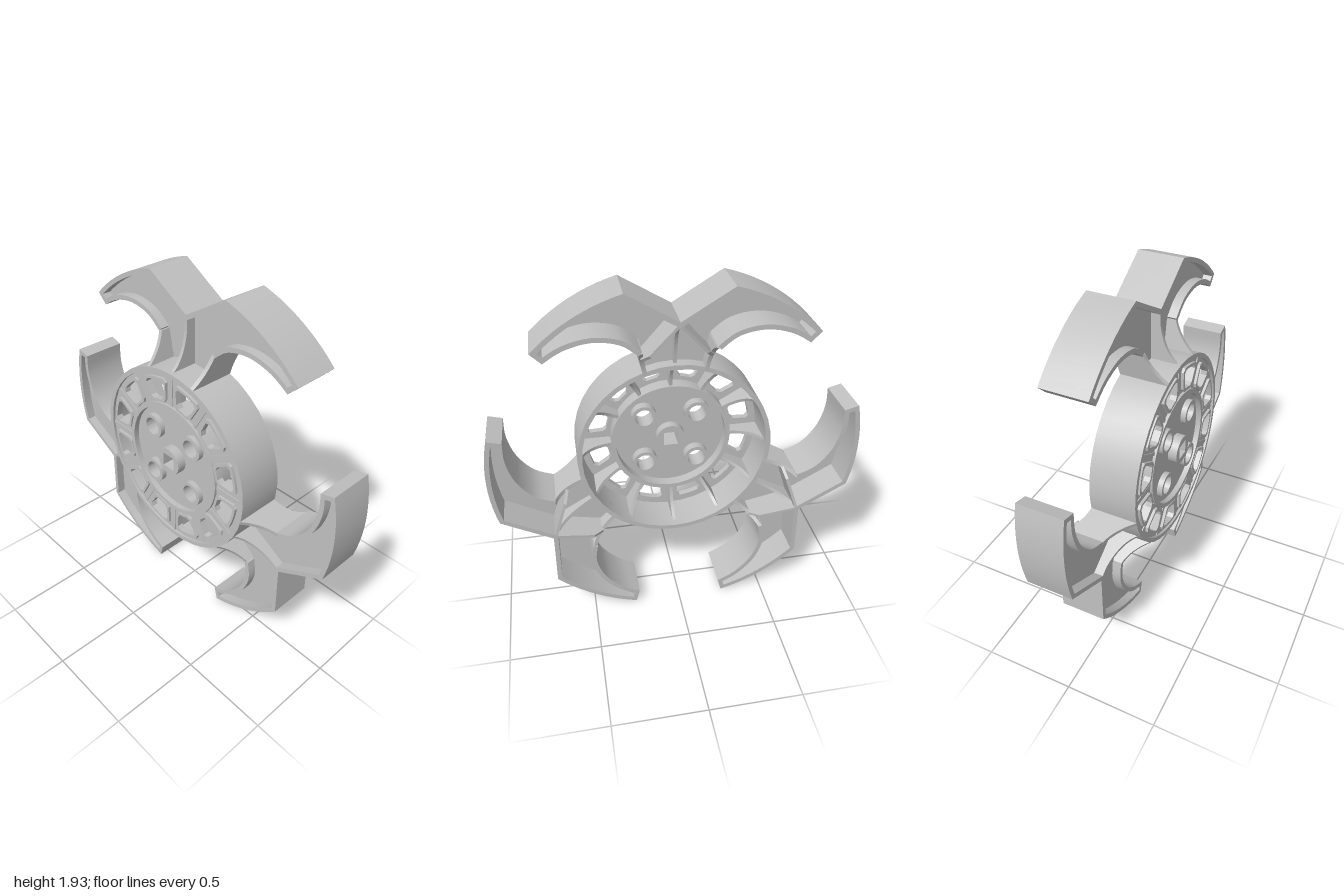
import * as THREE from 'three';
import { toCreasedNormals } from 'three/addons/utils/BufferGeometryUtils.js';

const V = (x, y) => new THREE.Vector2(x, y);
const grey = new THREE.MeshStandardMaterial({ color: 0xc0c0c0 });
grey.name = 'light grey';

function mesh(name, geometry) {
  const m = new THREE.Mesh(toCreasedNormals(geometry, 0.5), grey);
  m.name = name;
  return m;
}

// Slab of a shape between two depths along the axle
function slab(name, shape, from, to) {
  const g = new THREE.ExtrudeGeometry(shape, { depth: to - from, bevelEnabled: false, curveSegments: 20 });
  return mesh(name, g.translate(0, 0, from));
}

function circle(r, x = 0, y = 0, Type = THREE.Shape) {
  const s = new Type();
  s.absarc(x, y, r, 0, Math.PI * 2, false);
  return s;
}

function annulus(outer, inner, x = 0, y = 0) {
  const s = circle(outer, x, y);
  s.holes.push(circle(inner, x, y, THREE.Path));
  return s;
}

// Upright web: profile (distance, depth) starting at a, running along d
function web(name, a, d, profile, thick = 0.02) {
  const g = new THREE.ExtrudeGeometry(profile, { depth: thick, bevelEnabled: false, curveSegments: 10 });
  g.translate(0, 0, -thick / 2);
  g.applyMatrix4(new THREE.Matrix4().makeBasis(
    new THREE.Vector3(d.x, d.y, 0), new THREE.Vector3(0, 0, 1), new THREE.Vector3(d.y, -d.x, 0)));
  return mesh(name, g.translate(a.x, a.y, 0));
}

// Inset an open polyline to its left with mitred corners
function inset(pts, w) {
  return pts.map((p, i) => {
    const a = pts[Math.max(i - 1, 0)], b = pts[Math.min(i + 1, pts.length - 1)];
    const d1 = (i > 0 ? p.clone().sub(a) : b.clone().sub(p)).normalize();
    const d2 = (i < pts.length - 1 ? b.clone().sub(p) : d1.clone()).normalize();
    const n1 = V(-d1.y, d1.x), n = V(-d1.y - d2.y, d1.x + d2.x).normalize();
    return p.clone().addScaledVector(n, w / Math.max(n.dot(n1), 0.4));
  });
}

// Window between two spokes, shrunk by e, centred on the upright
function windowPoints(e) {
  const half = Math.PI / 12, r0 = 0.345 + e, r1 = 0.478 - e, gap = 0.035 + e;
  const a0 = half - Math.asin(gap / r0), a1 = half - Math.asin(gap / r1);
  const at = (r, a) => V(Math.sin(a) * r, Math.cos(a) * r);
  const pts = [];
  const c = 0.018;
  for (const t of [-1, -0.5, 0, 0.5, 1]) pts.push(at(r0, t * (a0 - c / r0)));
  pts.push(at(r0 + c, a0));
  pts.push(at(r1 - c, a1));
  for (const t of [1, 0.5, 0, -0.5, -1]) pts.push(at(r1, t * (a1 - c / r1)));
  pts.push(at(r1 - c, -a1), at(r0 + c, -a0));
  return pts;
}

function createHub() {
  const hub = new THREE.Group();
  hub.name = 'hub';
  hub.add(slab('outerRing', annulus(0.53, 0.505), -0.175, 0.08));
  hub.add(slab('innerRing', annulus(0.335, 0.31), -0.175, -0.06));

  // Pierced web plate with raised window frames and curved spokes
  const plate = annulus(0.51, 0.33);
  for (let i = 0; i < 12; i++) {
    const a = (i + 0.5) * Math.PI / 6, o = V(0, 0);
    const outer = windowPoints(-0.003).map(p => p.rotateAround(o, a));
    const inner = windowPoints(0.012).map(p => p.rotateAround(o, a));
    plate.holes.push(new THREE.Path(inner));
    const frame = new THREE.Shape(outer);
    frame.holes.push(new THREE.Path(inner));
    hub.add(slab('windowFrame', frame, -0.175, -0.158));

    const spoke = new THREE.Shape();
    spoke.moveTo(0.325, -0.165);
    spoke.lineTo(0.515, -0.165);
    spoke.lineTo(0.515, 0.06);
    spoke.quadraticCurveTo(0.48, -0.06, 0.325, -0.075);
    const d = V(Math.cos(i * Math.PI / 6), Math.sin(i * Math.PI / 6));
    hub.add(web('spoke', V(0, 0), d, spoke, 0.018));
  }
  hub.add(slab('webPlate', plate, -0.16, -0.14));

  // Centre disc with four round bosses and a square axle socket
  const h = 0.04, square = () => new THREE.Path([V(-h, -h), V(-h, h), V(h, h), V(h, -h)]);
  const disc = circle(0.315);
  disc.holes.push(square());
  for (const x of [-0.147, 0.147]) for (const y of [-0.147, 0.147]) {
    disc.holes.push(circle(0.05, x, y, THREE.Path));
    hub.add(slab('boss', annulus(0.07, 0.05, x, y), -0.175, -0.07));
  }
  hub.add(slab('disc', disc, -0.145, -0.12));
  const socket = circle(0.08);
  socket.holes.push(square());
  hub.add(slab('axleSocket', socket, -0.195, -0.07));
  return hub;
}

function createArm() {
  const arm = new THREE.Group();
  arm.name = 'clawArm';

  // One claw edge: inner curve, tip, outer arc, peak, valley
  const edge = new THREE.SplineCurve([V(0.2, 0.65), V(0.29, 0.715), V(0.42, 0.737), V(0.55, 0.708), V(0.65, 0.65)]).getPoints(16);
  for (let i = 0; i <= 10; i++) {
    const a = THREE.MathUtils.degToRad(45 + i * 2.98);
    edge.push(V(Math.cos(a) * 0.997, Math.sin(a) * 0.997));
  }
  const mirrored = edge.map(p => V(-p.x, p.y)).reverse();
  const outline = [...edge, V(0, 0.805), ...mirrored];
  arm.add(slab('clawRim', new THREE.Shape([...outline, ...inset(outline, 0.025).reverse()]), -0.06, 0.19));
  arm.add(slab('clawFloor', new THREE.Shape([V(0.165, 0.48), ...outline, V(-0.165, 0.48), V(0, 0.515)]), -0.01, 0.015));

  // Flared neck walls joining the hub
  const neck = new THREE.Shape();
  neck.moveTo(0, -0.175);
  neck.lineTo(0.025, -0.172);
  neck.quadraticCurveTo(0.09, -0.09, 0.18, -0.06);
  neck.lineTo(0.18, 0.19);
  neck.quadraticCurveTo(0.15, 0.085, 0, 0.08);
  for (const s of [-1, 1]) {
    const a = V(s * 0.155, 0.482);
    const d = V(s * 0.19, 0.657).sub(a).normalize();
    arm.add(web('neckWall', a, d, neck, 0.022));
  }

  // Centre rib and two diagonal ribs meeting at the valley
  const rib = new THREE.Shape();
  rib.moveTo(0.515, -0.17);
  rib.quadraticCurveTo(0.57, -0.08, 0.73, -0.06);
  rib.lineTo(0.795, -0.06);
  rib.lineTo(0.795, 0.19);
  rib.quadraticCurveTo(0.74, 0.06, 0.515, 0.05);
  arm.add(web('centreRib', V(0, 0), V(0, 1), rib, 0.018));
  for (const s of [-1, 1]) {
    const a = V(0, 0.79), b = V(s * 0.178, 0.59), len = a.distanceTo(b);
    const diagonal = new THREE.Shape([V(0, 0), V(len, 0), V(len, 0.12), V(len * 0.8, 0.17), V(0, 0.19)]);
    arm.add(web('diagonalRib', a, b.clone().sub(a).normalize(), diagonal, 0.016));
  }
  return arm;
}

export function createModel() {
  const model = new THREE.Group();
  model.name = 'clawWheel';
  const wheel = new THREE.Group();
  wheel.name = 'wheel';
  wheel.add(createHub());
  for (let i = 0; i < 3; i++) {
    const arm = createArm();
    arm.rotation.z = i * Math.PI * 2 / 3;
    wheel.add(arm);
  }
  // Axle runs along x
  wheel.rotation.y = Math.PI / 2;
  wheel.position.y = 0.965;
  model.add(wheel);
  return model;
}
